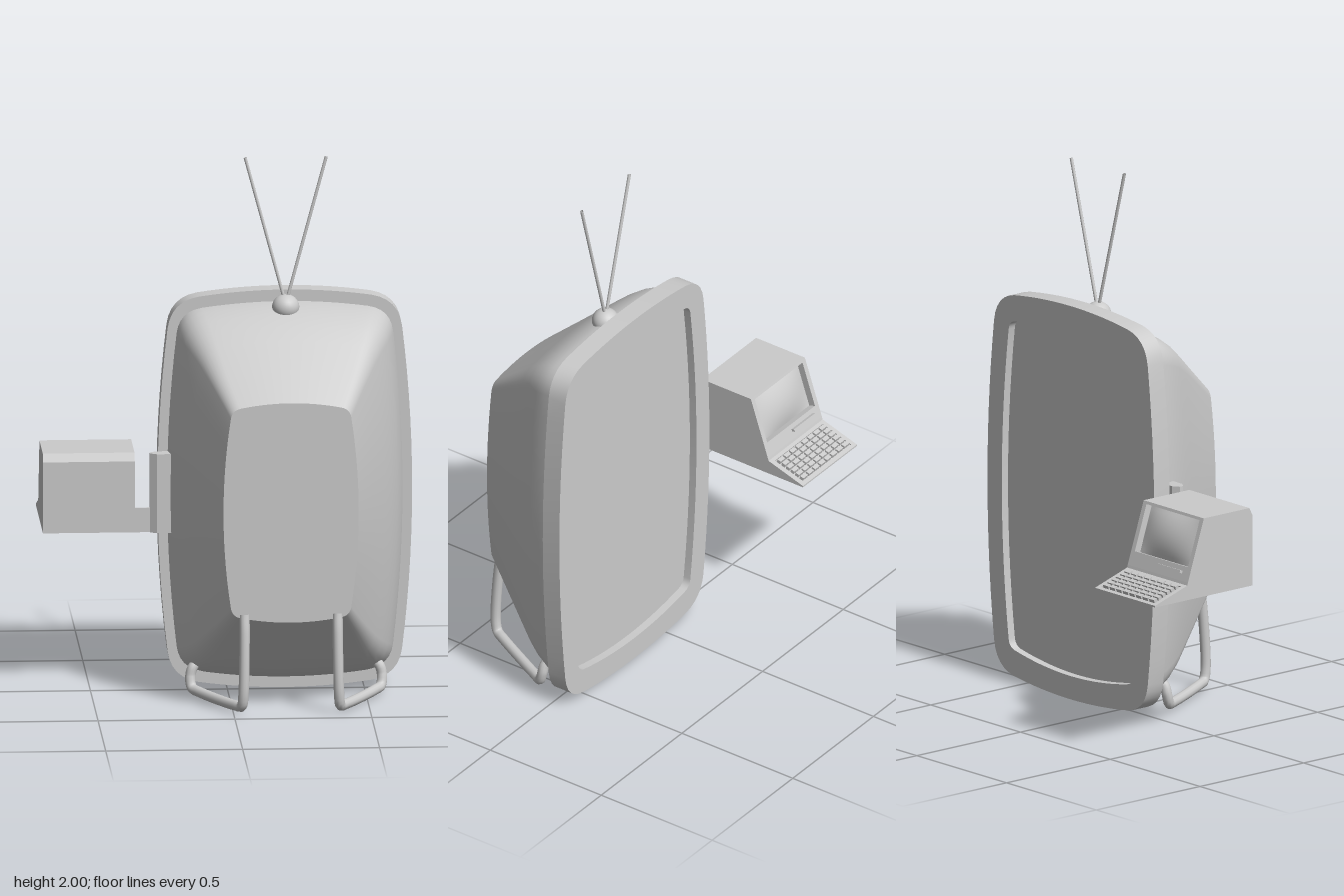
import * as THREE from 'three';
import { toCreasedNormals } from 'three/addons/utils/BufferGeometryUtils.js';

const material = new THREE.MeshStandardMaterial({ color: 0xcccccc, side: THREE.DoubleSide });
const CX = 0.21, CY = 0.75; // centre of the large set

function add(parent, name, geometry, x = 0, y = 0, z = 0) {
  const mesh = new THREE.Mesh(geometry, material);
  mesh.name = name;
  mesh.position.set(x, y, z);
  parent.add(mesh);
  return mesh;
}

// Barrel-sided rectangle: hw, hh at the middles, cw, ch at the corners, corner rounding r
function barrel(hw, hh, cw, ch, r) {
  const corners = [[cw, -ch], [cw, ch], [-cw, ch], [-cw, -ch]].map(c => new THREE.Vector2(...c));
  const middles = [[hw, 0], [0, hh], [-hw, 0], [0, -hh]].map(c => new THREE.Vector2(...c));
  const edges = corners.map((a, i) => {
    const b = corners[(i + 1) % 4];
    const control = middles[i].clone().multiplyScalar(2).sub(a.clone().add(b).multiplyScalar(0.5));
    return { curve: new THREE.QuadraticBezierCurve(a, control, b), k: r / a.distanceTo(b) };
  });
  const points = [];
  edges.forEach(({ curve, k }, i) => {
    for (let j = 0; j <= 14; j++) points.push(curve.getPoint(k + (1 - 2 * k) * j / 14));
    const next = edges[(i + 1) % 4];
    const round = new THREE.QuadraticBezierCurve(
      curve.getPoint(1 - k), corners[(i + 1) % 4], next.curve.getPoint(next.k));
    for (let j = 1; j < 6; j++) points.push(round.getPoint(j / 6));
  });
  return points;
}

// Skin through cross-sections, each { z, points }
function loft(sections) {
  const n = sections[0].points.length, position = [], index = [];
  sections.forEach(s => s.points.forEach(p => position.push(p.x, p.y, s.z)));
  for (let s = 0; s < sections.length - 1; s++) {
    for (let i = 0; i < n; i++) {
      const a = s * n + i, b = s * n + (i + 1) % n;
      index.push(a, b, b + n, a, b + n, a + n);
    }
  }
  const g = new THREE.BufferGeometry();
  g.setAttribute('position', new THREE.Float32BufferAttribute(position, 3));
  g.setIndex(index);
  g.computeVertexNormals();
  return g;
}

function extrude(shape, depth) {
  return new THREE.ExtrudeGeometry(shape, { depth, bevelEnabled: false });
}

function polygon(points) {
  return new THREE.Shape(points.map(p => new THREE.Vector2(...p)));
}

// Sloping face from a top [z, y] to a bottom [z, y] point
function slope(top, bottom, t) {
  const angle = Math.atan2(top[0] - bottom[0], top[1] - bottom[1]);
  const inward = p => [p[0] + t * Math.cos(angle), p[1] - t * Math.sin(angle)];
  return { angle, top, bottom, t, length: Math.hypot(top[0] - bottom[0], top[1] - bottom[1]),
    profile: [top, inward(top), inward(bottom), bottom] };
}

// Group lying on a slope, with a rim around an opening; local y runs up the slope
function slopePanel(parent, name, s, width, hole) {
  const group = new THREE.Group();
  group.name = name;
  group.rotation.set(-s.angle, Math.PI, 0, 'YXZ');
  group.position.set(-0.5075, s.bottom[1], s.bottom[0]);
  parent.add(group);
  const [hx, y0, y1] = hole, w = width / 2;
  const shape = polygon([[-w, 0], [w, 0], [w, s.length], [-w, s.length]]);
  shape.holes.push(polygon([[-hx, y0], [-hx, y1], [hx, y1], [hx, y0]]));
  add(group, name + 'Rim', extrude(shape, s.t), 0, 0, -s.t);
  return group;
}

function buildTerminal(root) {
  const terminal = new THREE.Group();
  terminal.name = 'terminal';
  root.add(terminal);
  const width = 0.335;
  const face = slope([-0.2, 0.895], [-0.277, 0.665], 0.03);
  const deck = slope([-0.28, 0.655], [-0.435, 0.606], 0.005);
  const profile = [[0.035, 0.6], [0.035, 0.865], [0.02, 0.895],
    ...face.profile, ...deck.profile, [-0.435, 0.6]];
  const body = extrude(polygon(profile), width);
  body.rotateY(-Math.PI / 2);
  add(terminal, 'terminalCase', body, -0.34);

  // Domed small screen in its recess
  const display = slopePanel(terminal, 'display', face, width, [0.148, 0.055, 0.232]);
  const dome = new THREE.PlaneGeometry(0.296, 0.177, 16, 12);
  const p = dome.attributes.position;
  for (let i = 0; i < p.count; i++) {
    const u = p.getX(i) / 0.148, v = p.getY(i) / 0.0885;
    p.setZ(i, 0.022 * (1 - u * u) * (1 - v * v));
  }
  dome.computeVertexNormals();
  add(display, 'smallScreen', dome, 0, 0.1435, -0.027);
  add(display, 'slotBar', new THREE.BoxGeometry(0.13, 0.01, 0.016), 0.06, 0.032, 0.004);

  // Keyboard
  const keyboard = slopePanel(terminal, 'keyboard', deck, width, [0.15, 0.014, 0.148]);
  const key = new THREE.BoxGeometry(0.029, 0.015, 0.014);
  for (let row = 0; row < 6; row++) {
    for (let col = 0; col < 8; col++) {
      add(keyboard, 'key', key, (col - 3.5) * 0.0365, 0.027 + row * 0.0215, 0.001);
    }
  }
}

export function createModel() {
  const root = new THREE.Group();
  root.name = 'televisionWithTerminal';

  // Tapered housing behind the screen: z, hw, hh, cw, ch, r
  const sections = [
    [0, 0.43, 0.7, 0.385, 0.665, 0.08],
    [0.05, 0.422, 0.692, 0.377, 0.657, 0.08],
    [0.1, 0.405, 0.67, 0.36, 0.636, 0.075],
    [0.15, 0.382, 0.637, 0.338, 0.604, 0.065],
    [0.2, 0.356, 0.594, 0.313, 0.563, 0.055],
    [0.3, 0.304, 0.506, 0.266, 0.477, 0.04],
    [0.41, 0.247, 0.41, 0.215, 0.385, 0.03],
  ].map(([z, ...size]) => ({ z, points: barrel(...size) }));
  add(root, 'housing', loft(sections), CX, CY);
  add(root, 'housingCap', new THREE.ShapeGeometry(new THREE.Shape(sections.at(-1).points)), CX, CY, 0.41);

  // Screen frame and recessed screen
  const opening = barrel(0.385, 0.655, 0.343, 0.615, 0.03);
  const frame = new THREE.Shape(barrel(0.465, 0.743, 0.415, 0.703, 0.1));
  frame.holes.push(new THREE.Path(opening));
  add(root, 'screenFrame', toCreasedNormals(extrude(frame, 0.075), 0.5), CX, CY, -0.075);
  add(root, 'screen', extrude(new THREE.Shape(opening), 0.044), CX, CY, -0.045);

  // Bent tube legs
  const legPath = [[0.17, 0.37, 0.4], [0.17, 0.3, 0.412], [0.175, 0.07, 0.423], [0.18, 0.03, 0.41],
    [0.2, 0.024, 0.37], [0.32, 0.024, 0.14], [0.345, 0.032, 0.1], [0.35, 0.07, 0.085],
    [0.34, 0.105, 0.08], [0.31, 0.13, 0.06]];
  for (const side of [-1, 1]) {
    const curve = new THREE.CatmullRomCurve3(
      legPath.map(([x, y, z]) => new THREE.Vector3(CX + side * x, y, z)));
    add(root, side < 0 ? 'rightLeg' : 'leftLeg', new THREE.TubeGeometry(curve, 70, 0.019, 12));
  }

  // Aerial: dome and two rods
  const dome = add(root, 'aerialBase', new THREE.SphereGeometry(0.05, 24, 16), CX, 1.44, 0.055);
  dome.scale.y = 0.95;
  for (const side of [-1, 1]) {
    const rod = new THREE.LineCurve3(
      new THREE.Vector3(CX + side * 0.005, 1.47, 0.055), new THREE.Vector3(CX + side * 0.148, 2, 0.055));
    add(root, 'aerialRod', new THREE.TubeGeometry(rod, 1, 0.006, 10));
  }

  // Bracket joining the terminal to the housing
  const block = extrude(polygon([[-0.285, 0.022], [-0.26, 0.005], [-0.19, 0.005],
    [-0.19, 0.055], [-0.26, 0.055], [-0.285, 0.038]]), 0.295);
  block.rotateX(Math.PI / 2);
  add(root, 'bracketBlock', block, 0, 0.895);
  add(root, 'bracketArm', new THREE.BoxGeometry(0.09, 0.09, 0.014), -0.3, 0.645, 0.028);

  buildTerminal(root);
  return root;
}
